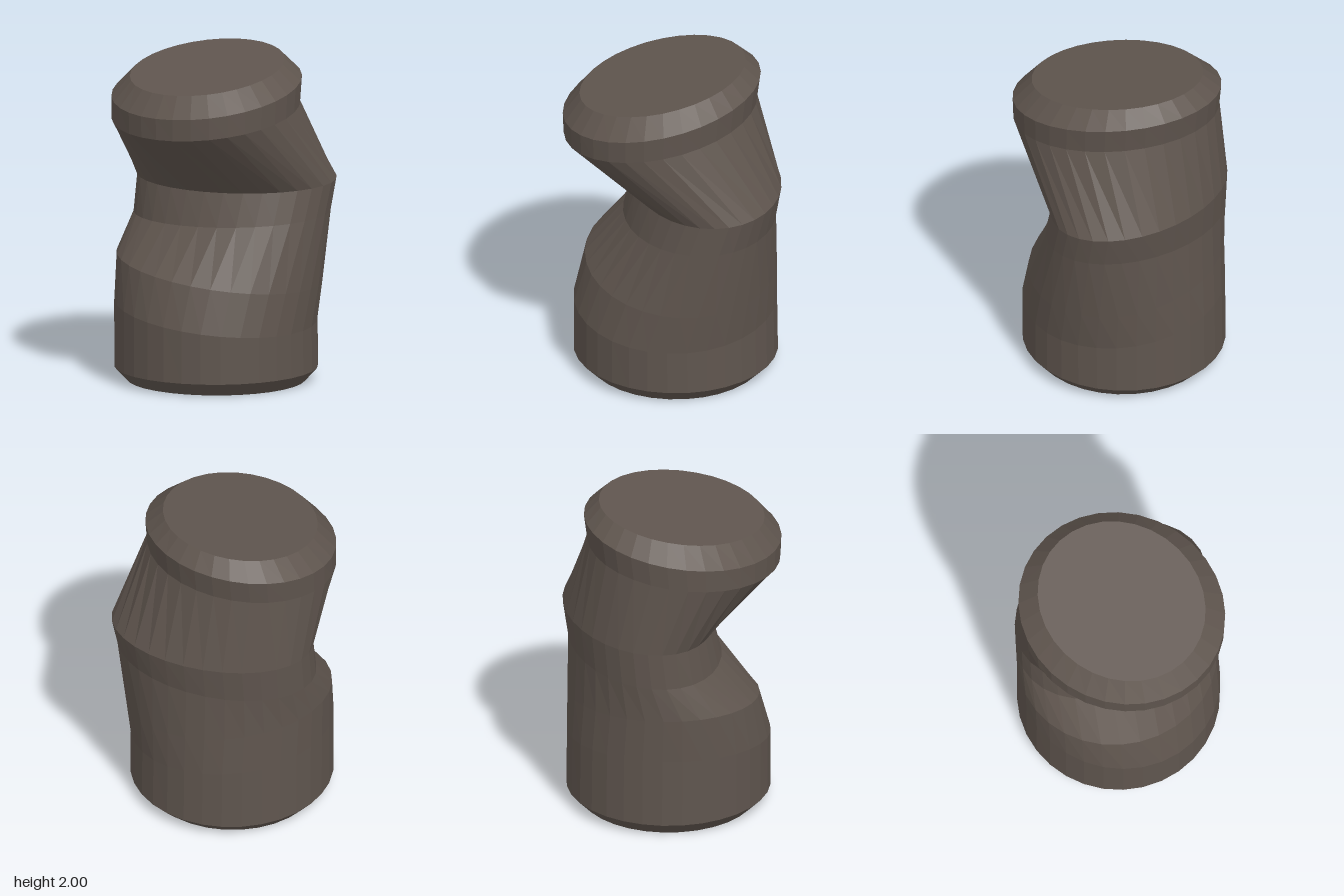
import * as THREE from 'three';

const SIDES = 32;

// Each ring: front [z, y], back [z, y], half width, skew of z along x, tilt of y along x
const RINGS = [
  { front: [0.52, 0], back: [-0.55, 0], w: 0.54, skew: 0, tilt: 0 },
  { front: [0.6, 0.08], back: [-0.63, 0.08], w: 0.61, skew: 0, tilt: 0 },
  { front: [0.6, 0.43], back: [-0.625, 0.43], w: 0.61, skew: 0, tilt: -0.08 },
  { front: [0.535, 0.7], back: [-0.625, 0.68], w: 0.615, skew: -0.04, tilt: -0.09 },
  { front: [0.31, 0.98], back: [-0.625, 1.04], w: 0.61, skew: -0.08, tilt: 0.01 },
  { front: [0.26, 1.19], back: [-0.66, 1.25], w: 0.61, skew: -0.1, tilt: -0.01 },
  { front: [0.655, 1.57], back: [-0.5, 1.75], w: 0.605, skew: 0.05, tilt: 0 },
  { front: [0.66, 1.7], back: [-0.52, 1.91], w: 0.61, skew: 0.055, tilt: 0 },
  { front: [0.56, 1.83], back: [-0.43, 2.0], w: 0.492, skew: 0.055, tilt: 0 },
];

// Point on a skewed, tilted elliptical ring
function ringPoint({ front, back, w, skew, tilt }, k) {
  const a = (k / SIDES) * Math.PI * 2;
  const c = Math.cos(a), s = Math.sin(a);
  const depth = (front[0] - back[0]) / 2;
  const r = Math.hypot(depth, skew); // keeps the skewed ring inside its front and back limits
  const dz = Math.sqrt(Math.max(0, 2 * depth * depth - r * r)) * s + skew * c;
  const slope = (front[1] - back[1]) / (front[0] - back[0]);
  return [
    w * c,
    (front[1] + back[1]) / 2 + slope * dz + tilt * c,
    (front[0] + back[0]) / 2 + dz,
  ];
}

function trianglesToGeometry(points) {
  const g = new THREE.BufferGeometry();
  g.setAttribute('position', new THREE.Float32BufferAttribute(points.flat(), 3));
  g.computeVertexNormals();
  return g;
}

// Faceted wall through a run of rings
function loft(rings) {
  const pts = [];
  for (let i = 0; i < rings.length - 1; i++) {
    for (let k = 0; k < SIDES; k++) {
      const a = ringPoint(rings[i], k), b = ringPoint(rings[i], k + 1);
      const c = ringPoint(rings[i + 1], k), d = ringPoint(rings[i + 1], k + 1);
      pts.push(a, c, d, a, d, b);
    }
  }
  return trianglesToGeometry(pts);
}

// Flat disc closing a ring
function cap(ring, up) {
  const mid = [0, (ring.front[1] + ring.back[1]) / 2, (ring.front[0] + ring.back[0]) / 2];
  const pts = [];
  for (let k = 0; k < SIDES; k++) {
    const a = ringPoint(ring, k), b = ringPoint(ring, k + 1);
    pts.push(mid, ...(up ? [b, a] : [a, b]));
  }
  return trianglesToGeometry(pts);
}

export function createModel() {
  const group = new THREE.Group();
  group.name = 'bentStump';
  const material = new THREE.MeshStandardMaterial({ color: 0x5f554e, flatShading: true });
  const add = (name, geometry) => {
    const mesh = new THREE.Mesh(geometry, material);
    mesh.name = name;
    group.add(mesh);
  };

  // Base, bent trunk and tilted head
  add('bottomFace', cap(RINGS[0], false));
  add('bottomBevel', loft(RINGS.slice(0, 2)));
  add('trunk', loft(RINGS.slice(1, 7)));
  add('headRim', loft(RINGS.slice(6, 8)));
  add('headBevel', loft(RINGS.slice(7, 9)));
  add('topFace', cap(RINGS[8], true));
  return group;
}
